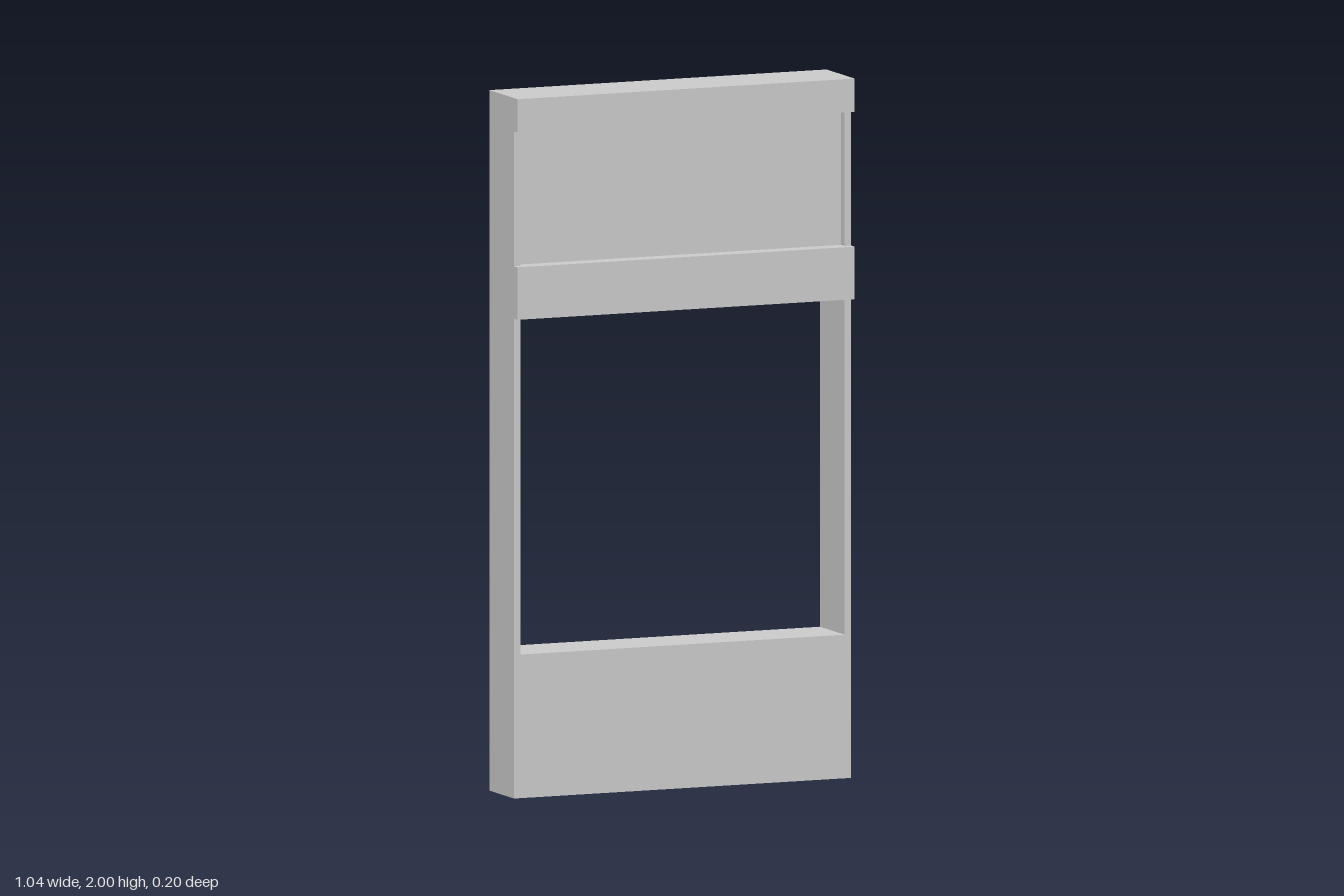
import * as THREE from 'three';

const HALF_W = 0.52, INNER = 0.5;
const BACK = -0.1, FACE = 0.075, FRONT = 0.1, RECESS = 0.05;
const WINDOW = [0.41, 1.37], PANEL = [1.52, 1.905], TOP = 2;

const material = new THREE.MeshStandardMaterial({ color: 0xcccccc, flatShading: true });

// Box spanning +-halfWidth in x, and the given y and z ranges
function slab(name, halfWidth, y0, y1, z0, z1) {
  const mesh = new THREE.Mesh(new THREE.BoxGeometry(halfWidth * 2, y1 - y0, z1 - z0), material);
  mesh.position.set(0, (y0 + y1) / 2, (z0 + z1) / 2);
  mesh.name = name;
  return mesh;
}

function rectangle(path, halfWidth, y0, y1) {
  path.moveTo(-halfWidth, y0);
  path.lineTo(halfWidth, y0);
  path.lineTo(halfWidth, y1);
  path.lineTo(-halfWidth, y1);
  path.closePath();
  return path;
}

export function createModel() {
  const group = new THREE.Group();
  group.name = 'windowWallPanel';

  // Wall frame with the window opening and the sign panel opening
  const shape = rectangle(new THREE.Shape(), HALF_W, 0, TOP);
  for (const [y0, y1] of [WINDOW, PANEL]) shape.holes.push(rectangle(new THREE.Path(), INNER, y0, y1));
  const frame = new THREE.Mesh(
    new THREE.ExtrudeGeometry(shape, { depth: FACE - BACK, bevelEnabled: false }), material);
  frame.position.z = BACK;
  frame.name = 'wallFrame';
  group.add(frame);

  // Recessed panel filling the upper opening
  group.add(slab('recessedPanel', INNER, PANEL[0], PANEL[1], BACK, RECESS));

  // Raised bands below and above the panel
  group.add(slab('lowerBand', HALF_W, WINDOW[1], PANEL[0], FACE, FRONT));
  group.add(slab('upperBand', HALF_W, PANEL[1], TOP, FACE, FRONT));

  return group;
}
